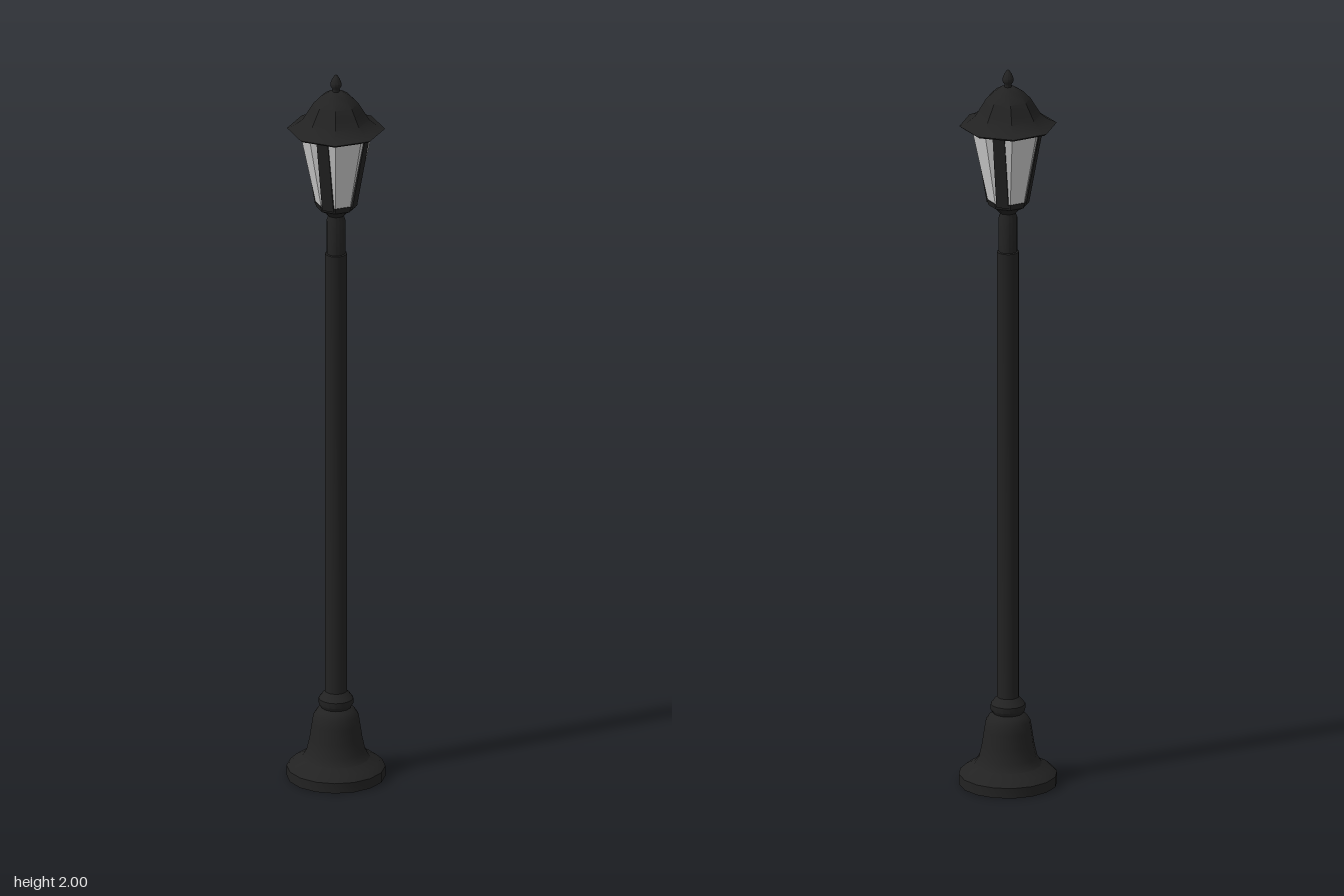
import * as THREE from 'three';
import { toCreasedNormals } from 'three/addons/utils/BufferGeometryUtils.js';

const metal = new THREE.MeshStandardMaterial({ color: 0x222222 });
const glass = new THREE.MeshStandardMaterial({ color: 0xcccccc, side: THREE.DoubleSide });

// Turned part from [radius, height] pairs, listed bottom to top
function turned(name, profile, sides, material = metal, turn = 0) {
  const points = profile.map(([r, y]) => new THREE.Vector2(r, y));
  const geometry = new THREE.LatheGeometry(points, sides, turn);
  const mesh = new THREE.Mesh(toCreasedNormals(geometry, 0.6), material);
  mesh.name = name;
  return mesh;
}

export function createModel() {
  const model = new THREE.Group();
  model.name = 'streetLamp';
  const flat = Math.PI / 8; // turns an octagon so its flats face the axes

  // Flared foot with a ring where the pole enters
  model.add(turned('base', [
    [0, 0], [0.131, 0], [0.131, 0.028], [0.115, 0.043], [0.09, 0.055],
    [0.078, 0.075], [0.07, 0.11], [0.064, 0.15], [0.06, 0.175],
    [0.05, 0.19], [0.04, 0.197], [0.046, 0.207], [0.046, 0.222],
    [0.036, 0.235], [0.028, 0.243], [0, 0.243],
  ], 16));

  // Pole with a slimmer upper section
  model.add(turned('pole', [[0.029, 0.22], [0.029, 1.49], [0.024, 1.492]], 16));
  model.add(turned('poleNeck', [[0.025, 1.48], [0.025, 1.585], [0.02, 1.6], [0.02, 1.62]], 16));

  // Lantern cup
  model.add(turned('lanternCup', [
    [0, 1.6], [0.024, 1.6], [0.034, 1.612], [0.052, 1.622], [0.057, 1.638], [0, 1.638],
  ], 8, metal, flat));

  // Tapered glass
  model.add(turned('glass', [[0.054, 1.635], [0.098, 1.845]], 8, glass, flat));

  // Four leaning corner posts
  const bottom = new THREE.Vector3(0, 1.63, 0.046);
  const top = new THREE.Vector3(0, 1.85, 0.086);
  const lean = Math.atan2(top.z - bottom.z, top.y - bottom.y);
  for (let i = 0; i < 4; i++) {
    const post = new THREE.Mesh(new THREE.BoxGeometry(0.033, bottom.distanceTo(top), 0.016), metal);
    post.position.copy(bottom).lerp(top, 0.5);
    post.rotation.x = lean;
    const corner = new THREE.Group();
    corner.name = 'cornerPost' + (i + 1);
    corner.rotation.y = Math.PI / 4 + i * Math.PI / 2;
    corner.add(post);
    model.add(corner);
  }

  // Bell-shaped roof
  model.add(turned('roof', [
    [0, 1.84], [0.122, 1.84], [0.13, 1.846], [0.108, 1.856], [0.088, 1.872],
    [0.074, 1.895], [0.06, 1.918], [0.04, 1.938], [0.02, 1.95], [0, 1.953],
  ], 8, metal, flat));

  // Finial
  model.add(turned('finial', [
    [0.009, 1.94], [0.009, 1.958], [0.015, 1.968], [0.015, 1.975], [0.01, 1.988], [0.004, 1.997], [0, 2],
  ], 12));

  return model;
}
